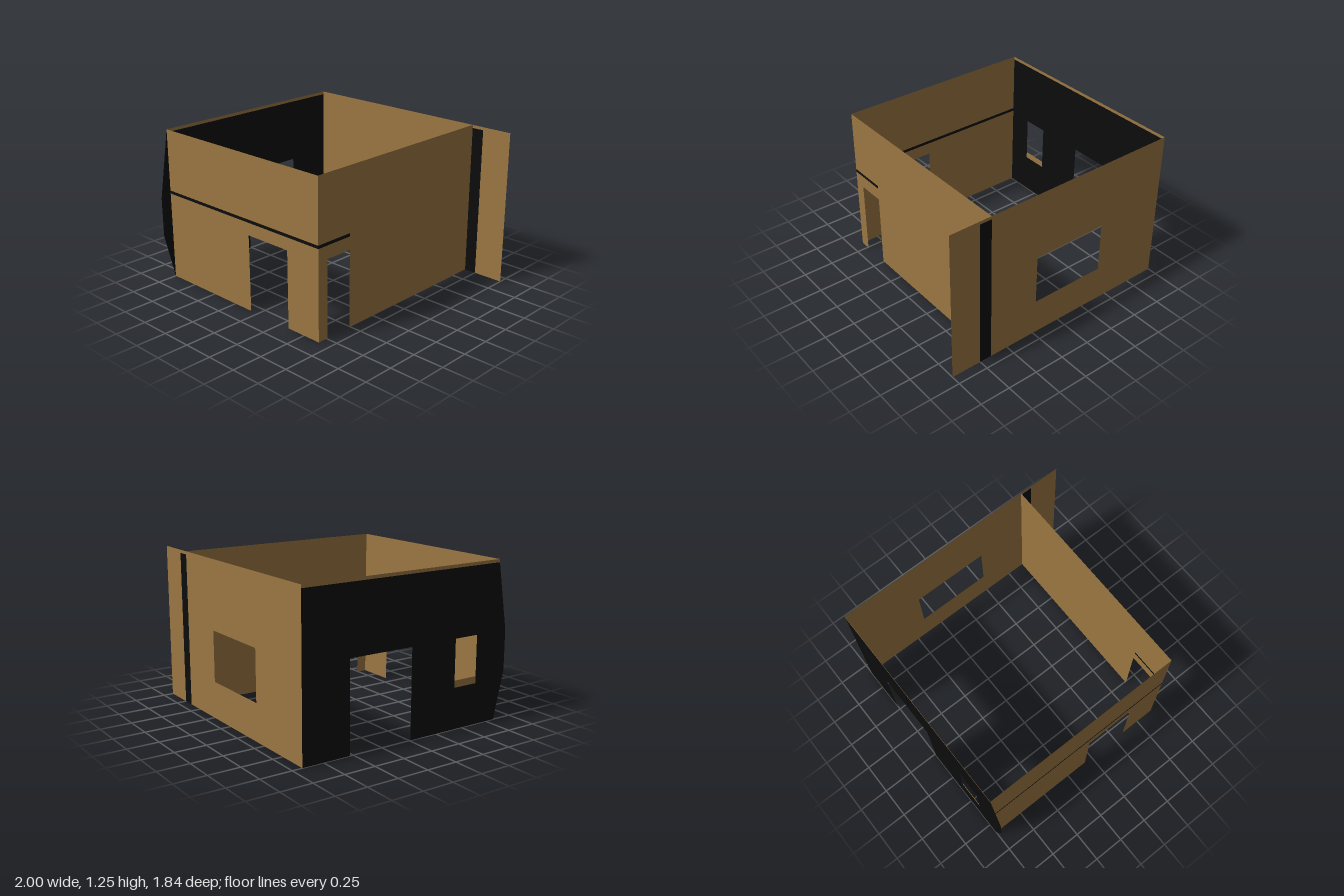
import * as THREE from 'three';

export function createModel() {
  const model = new THREE.Group();
  model.name = 'roomWalls';

  const tan = new THREE.MeshStandardMaterial({ color: 0x9b7742, side: THREE.DoubleSide });
  tan.name = 'tan wall';
  const black = new THREE.MeshStandardMaterial({ color: 0x0c0c0c, side: THREE.DoubleSide });
  black.name = 'black trim';

  const points = (list) => list.map(([u, v]) => new THREE.Vector2(u, v));
  const rect = (u0, v0, u1, v1) => [[u0, v0], [u1, v0], [u1, v1], [u0, v1]];

  // A paper-thin wall panel from an outline and optional window holes
  function panel(parent, name, material, outline, holes = []) {
    const shape = new THREE.Shape(points(outline));
    for (const h of holes) shape.holes.push(new THREE.Path(points(h)));
    const mesh = new THREE.Mesh(new THREE.ShapeGeometry(shape), material);
    mesh.name = name;
    parent.add(mesh);
  }

  // Wall groups: across walls are drawn in (x, y), side walls in (z, y)
  function wall(name, offset, isSide) {
    const group = new THREE.Group();
    group.name = name;
    if (isSide) {
      group.rotation.y = -Math.PI / 2;
      group.position.x = offset;
    } else {
      group.position.z = offset;
    }
    model.add(group);
    return group;
  }

  const H = 1.25, back = -0.92, front = 0.83, side = 0.65;
  const bandLow = 0.72, bandHigh = 0.745, trim = 1.225;

  // Front wall with doorway and a thin dark band
  const frontWall = wall('frontWall', front, false);
  panel(frontWall, 'frontWallLower', tan, [
    [-1, 0], [-0.07, 0], [-0.07, 0.62], [0.34, 0.62], [0.34, 0], [side, 0], [side, bandLow], [-1, bandLow],
  ]);
  panel(frontWall, 'frontBand', black, rect(-1, bandLow, side, bandHigh));
  panel(frontWall, 'frontWallUpper', tan, rect(-1, bandHigh, side, H));

  // Inner side wall with a small opening; the band wraps round the corner
  const sideWall = wall('sideWall', side, true);
  panel(sideWall, 'sideWallPanel', tan, [
    [back, 0], [0.51, 0], [0.51, 0.617], [0.74, 0.617], [0.74, 0], [front, 0], [front, bandLow],
    [0.51, bandLow], [0.51, bandHigh], [front, bandHigh], [front, H], [back, H],
  ]);
  panel(sideWall, 'sideBand', black, rect(0.51, bandLow, front, bandHigh));

  // Back wall runs past the side wall, with a wide window and upright strip
  const backWall = wall('backWall', back, false);
  panel(backWall, 'backWallPanel', tan, [
    [-1, 0], [side, 0], [side, trim], [0.75, trim], [0.75, 0], [1, 0], [1, H], [-1, H],
  ], [rect(-0.4, 0.295, 0.23, 0.7)]);
  panel(backWall, 'backStrip', black, rect(side, 0, 0.75, trim));

  // Dark wall with doorway and window, bulging forward at window height
  const darkWall = wall('darkWall', -1, true);
  panel(darkWall, 'darkWallPanel', black, [
    [back, 0], [-0.53, 0], [-0.53, 0.7], [0.01, 0.7], [0.01, 0], [front, 0],
    [0.92, 0.38], [0.92, 0.7], [0.834, trim], [back, trim],
  ], [rect(0.42, 0.325, 0.63, 0.7)]);
  panel(darkWall, 'windowSill', tan, rect(0.42, 0.325, 0.63, 0.38));
  panel(darkWall, 'topTrim', tan, [[back, trim], [0.834, trim], [front, H], [back, H]]);

  return model;
}
